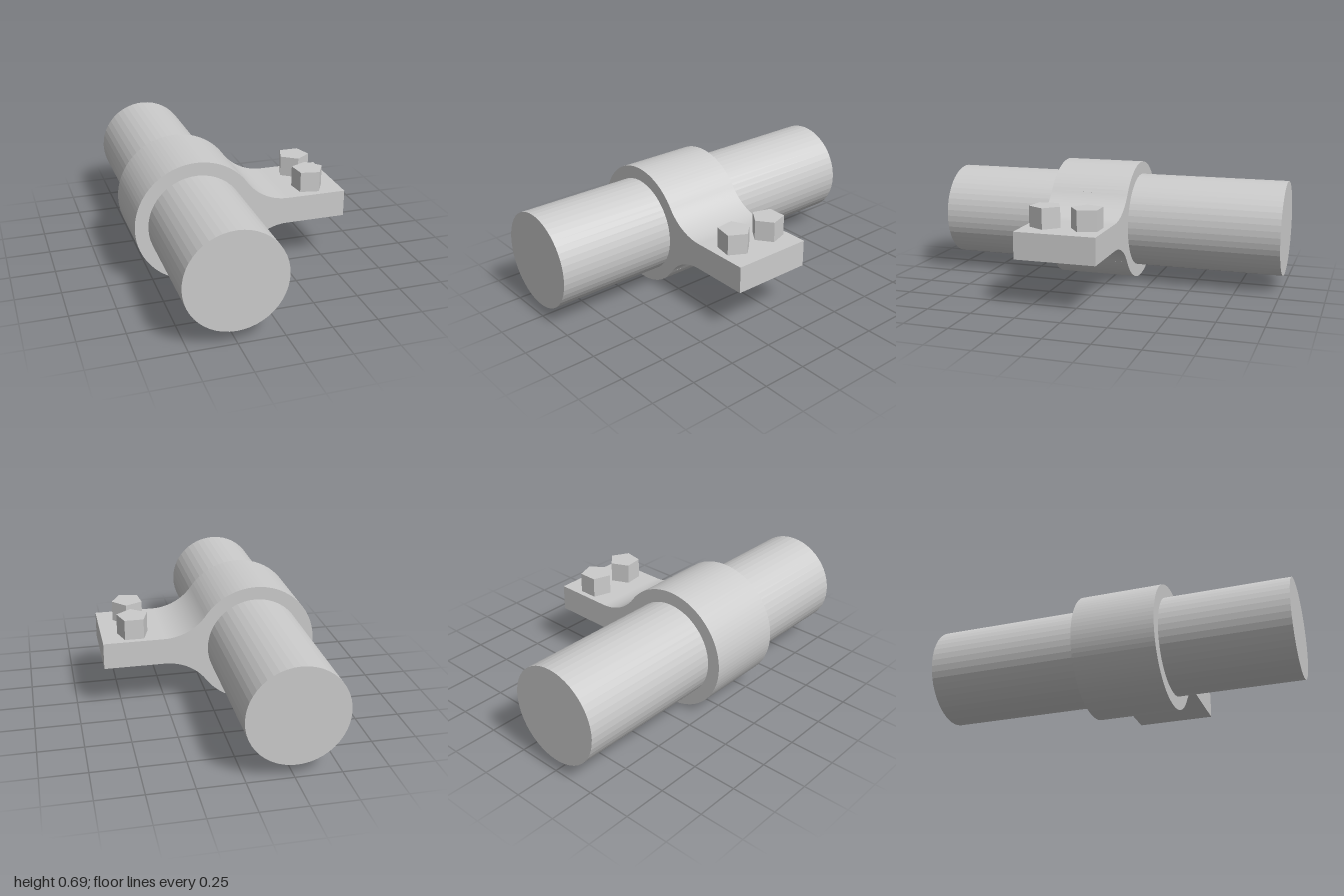
import * as THREE from 'three';

const CX = -0.257, CY = 0.343;            // pipe axis
const RING = 0.343, PIPE = 0.27;          // radii
const HALF = 0.075, TIP = 0.597;          // plate half thickness, plate end
const FILLET_X = 0.26, FILLET = 0.29;     // fillet centre and radius
const BACK = -0.14, FRONT = 0.315;        // clamp extent along z

export function createModel() {
  const group = new THREE.Group();
  const material = new THREE.MeshStandardMaterial({ color: 0xcccccc, flatShading: true });

  const add = (name, geometry, x, y, z) => {
    const mesh = new THREE.Mesh(geometry, material);
    mesh.name = name;
    mesh.position.set(x, y, z);
    group.add(mesh);
    return mesh;
  };

  // Long pipe along z
  add('pipe', new THREE.CylinderGeometry(PIPE, PIPE, 2, 48).rotateX(Math.PI / 2), CX, CY, 0);

  // Clamp: round collar blending through two fillets into a flat plate
  const dy = HALF + FILLET;
  const a = Math.atan2(dy, FILLET_X - CX);
  const profile = new THREE.Shape();
  profile.moveTo(TIP, CY - HALF);
  profile.lineTo(TIP, CY + HALF);
  profile.lineTo(FILLET_X, CY + HALF);
  profile.absarc(FILLET_X, CY + dy, FILLET, -Math.PI / 2, a - Math.PI, true);
  profile.absarc(CX, CY, RING, a, 2 * Math.PI - a, false);
  profile.absarc(FILLET_X, CY - dy, FILLET, Math.PI - a, Math.PI / 2, true);
  profile.closePath();
  add('clamp', new THREE.ExtrudeGeometry(profile, {
    depth: FRONT - BACK, bevelEnabled: false, curveSegments: 36,
  }), 0, 0, BACK);

  // Five-sided bolt heads on the plate, each turned differently
  const height = 0.115;
  [['backBolt', -0.035, 0], ['frontBolt', 0.198, 2.95]].forEach(([name, z, turn]) => {
    const bolt = add(name, new THREE.CylinderGeometry(0.09, 0.09, height, 5),
      0.42, CY + HALF + height / 2, z);
    bolt.rotation.y = turn;
  });

  return group;
}
